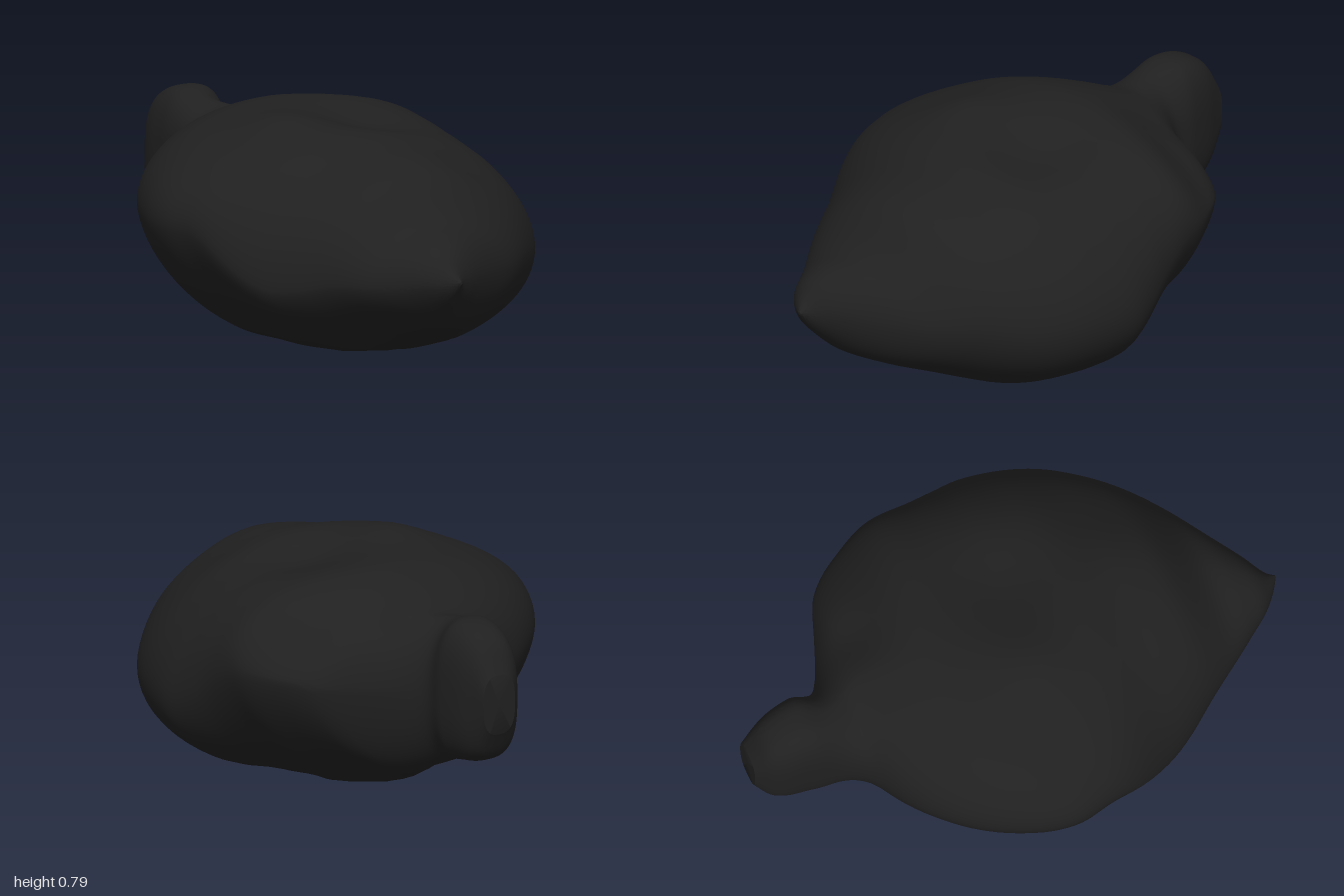
import * as THREE from 'three';
import { toCreasedNormals } from 'three/addons/utils/BufferGeometryUtils.js';

// Cross-sections from tail knob to nose: z, x min, x max, y min, y max
const SECTIONS = [
  [-1.0, -0.09, 0.04, 0.34, 0.56], [-0.95, -0.13, 0.06, 0.25, 0.65],
  [-0.9, -0.15, 0.08, 0.215, 0.69], [-0.8, -0.165, 0.1, 0.19, 0.715],
  [-0.7, -0.185, 0.11, 0.16, 0.69], [-0.65, -0.215, 0.18, 0.135, 0.68],
  [-0.6, -0.27, 0.3, 0.11, 0.675], [-0.55, -0.36, 0.43, 0.08, 0.69],
  [-0.5, -0.43, 0.49, 0.055, 0.71], [-0.4, -0.53, 0.56, 0, 0.745],
  [-0.3, -0.6, 0.61, -0.06, 0.77], [-0.2, -0.65, 0.63, -0.08, 0.775],
  [-0.1, -0.685, 0.645, -0.08, 0.775], [0, -0.695, 0.67, -0.08, 0.775],
  [0.1, -0.675, 0.69, -0.08, 0.775], [0.25, -0.635, 0.67, -0.07, 0.76],
  [0.4, -0.56, 0.615, -0.04, 0.715], [0.5, -0.5, 0.55, 0.005, 0.69],
  [0.6, -0.43, 0.46, 0.05, 0.65], [0.75, -0.325, 0.29, 0.115, 0.515],
  [0.85, -0.255, 0.13, 0.17, 0.48], [0.92, -0.205, 0.015, 0.24, 0.44],
  [0.97, -0.15, -0.07, 0.3, 0.385], [1.0, -0.105, -0.095, 0.345, 0.355],
];

// Soft dents (negative) and bumps on the upper side: x, z, radius, height
const DENTS = [
  [0.15, 0.06, 0.2, -0.065], [-0.22, 0.03, 0.14, 0.03],
  [0.2, -0.52, 0.1, -0.03], [0.3, 0.5, 0.14, -0.02],
];

const RINGS = 110, SIDES = 80;
const { lerp, smoothstep } = THREE.MathUtils;

function lumpGeometry() {
  const section = new THREE.CubicInterpolant(
    SECTIONS.map((s) => s[0]), SECTIONS.flatMap((s) => s.slice(1)), 4);
  const power = (c, p) => Math.sign(c) * Math.abs(c) ** p;
  const points = [], index = [];

  for (let i = 0; i <= RINGS; i++) {
    const z = Math.cos((Math.PI * i) / RINGS);
    const [x0, x1, y0, y1] = section.evaluate(z);
    const middle = (y0 + y1) / 2;
    const body = 1 - smoothstep(Math.abs(z), 0.45, 0.8);
    const knob = smoothstep(-z, 0.6, 0.8);
    const front = smoothstep(z, -0.28, 0.1);
    // Heights of the widest line: each flank drops from a high rear to a low front
    const leftRim = lerp(middle, lerp(0.47, 0.29, front), body);
    const rightRim = lerp(middle, lerp(0.45, 0.27, smoothstep(z, 0.1, 0.45)), body);
    const centreRim = (leftRim + rightRim) / 2;
    // Fullness of each quarter: below 1 is boxy, above 1 is wedge-shaped
    const upperLeft = 0.9 + 0.5 * smoothstep(-z, 0.2, 0.45) + 0.22 * smoothstep(z, -0.1, 0.2);
    const lowerLeft = lerp(1.25, 0.97, front);

    for (let j = 0; j < SIDES; j++) {
      const t = (j / SIDES) * Math.PI * 2;
      const c = Math.cos(t), s = Math.sin(t);
      const quarter = s > 0 ? (c > 0 ? upperLeft : 1) : (c > 0 ? lowerLeft : 1.25);
      const p = lerp(quarter, 0.72, knob);
      const u = power(c, p), v = power(s, p);
      const x = (x0 + x1) / 2 + (u * (x1 - x0)) / 2;
      const rim = lerp(centreRim, c > 0 ? leftRim : rightRim, Math.abs(u));
      let y = rim + v * (s > 0 ? y1 - rim : rim - y0);
      if (s > 0) {
        for (const [dx, dz, r, h] of DENTS) {
          y += s * h * Math.exp(-((x - dx) ** 2 + (z - dz) ** 2) / (r * r));
        }
      }
      // Flat resting face
      points.push(x, Math.max(y, 0), z);
    }
  }

  for (let i = 0; i < RINGS; i++) {
    for (let j = 0; j < SIDES; j++) {
      const a = i * SIDES + j, b = i * SIDES + ((j + 1) % SIDES);
      index.push(a, a + SIDES, b, b, a + SIDES, b + SIDES);
    }
  }
  // Nose tip and flat end of the knob
  const last = RINGS * SIDES, tip = points.length / 3;
  points.push(-0.1, 0.35, 1, -0.025, 0.45, -1);
  for (let j = 0; j < SIDES; j++) {
    const next = (j + 1) % SIDES;
    index.push(tip, j, next, tip + 1, last + next, last + j);
  }

  const geometry = new THREE.BufferGeometry();
  geometry.setAttribute('position', new THREE.Float32BufferAttribute(points, 3));
  geometry.setIndex(index);
  return toCreasedNormals(geometry, 0.6);
}

export function createModel() {
  const model = new THREE.Group();
  model.name = 'lump';
  const charcoal = new THREE.MeshStandardMaterial({ color: 0x202020 });
  charcoal.name = 'charcoal';
  const body = new THREE.Mesh(lumpGeometry(), charcoal);
  body.name = 'stoneBody';
  model.add(body);
  return model;
}
